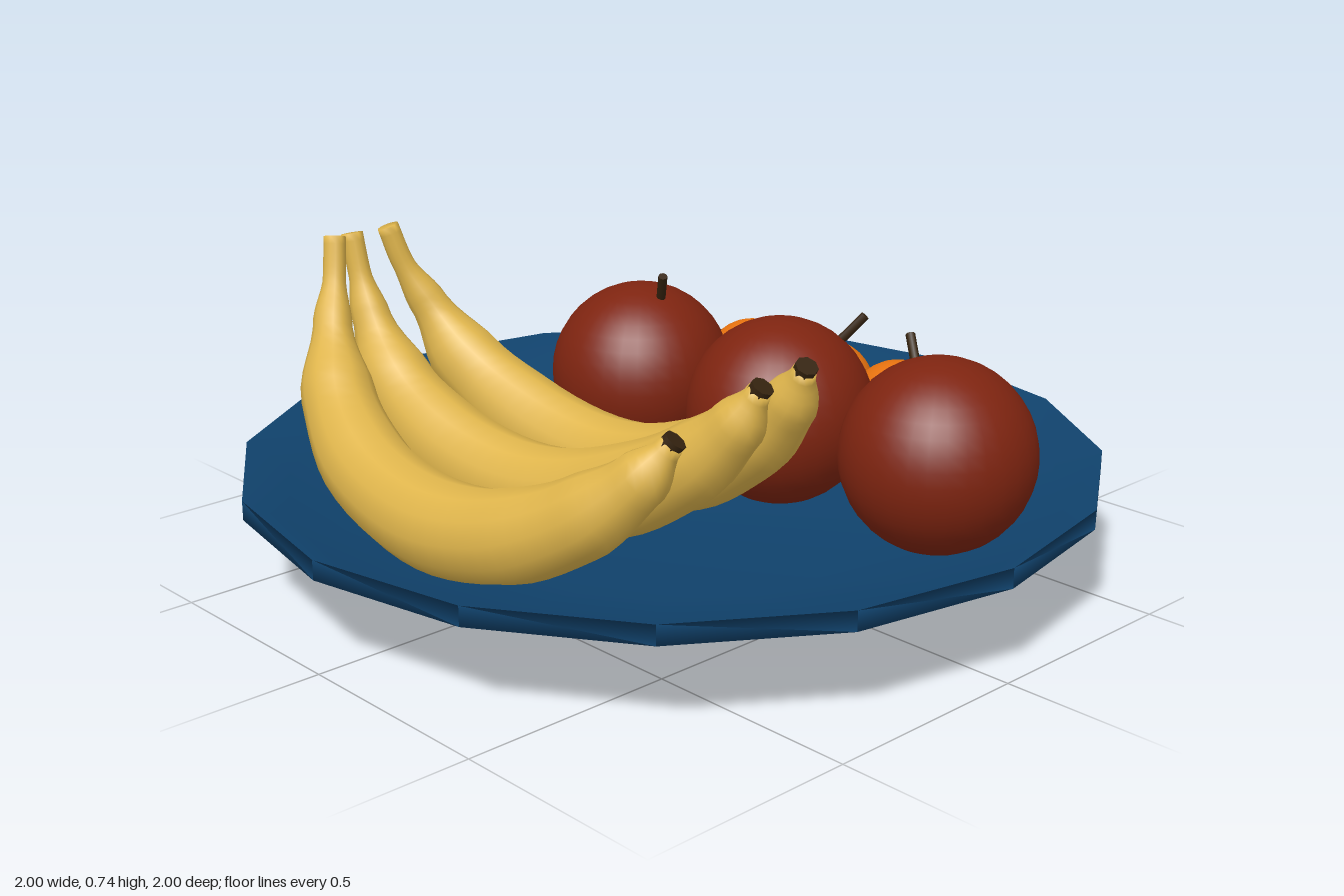
import * as THREE from 'three';

const mat = (name, color, side = THREE.FrontSide) => {
  const m = new THREE.MeshStandardMaterial({ color, side });
  m.name = name;
  return m;
};

// Sweep of ellipses along a curve; radii are spread evenly over its control points
function sweep(points, radii, steps, sides) {
  const curve = new THREE.CatmullRomCurve3(points, false, 'centripetal');
  const pos = [], idx = [];
  const zAxis = new THREE.Vector3(0, 0, 1);
  for (let i = 0; i <= steps; i++) {
    const t = i / steps, f = t * (radii.length - 1);
    const k = Math.min(Math.floor(f), radii.length - 2);
    const r = THREE.MathUtils.lerp(radii[k], radii[k + 1], THREE.MathUtils.smoothstep(f - k, 0, 1));
    const c = curve.getPoint(t), tan = curve.getTangent(t);
    const up = zAxis.clone().cross(tan).normalize();
    const side = tan.clone().cross(up).normalize();
    for (let j = 0; j < sides; j++) {
      const a = j / sides * Math.PI * 2;
      const p = c.clone().addScaledVector(up, Math.cos(a) * r).addScaledVector(side, Math.sin(a) * r * 0.92);
      pos.push(p.x, p.y, p.z);
    }
  }
  for (let i = 0; i < steps; i++) for (let j = 0; j < sides; j++) {
    const a = i * sides + j, b = i * sides + (j + 1) % sides;
    idx.push(a, b, a + sides, b, b + sides, a + sides);
  }
  // End caps
  for (let j = 1; j < sides - 1; j++) {
    const e = steps * sides;
    idx.push(0, j + 1, j, e, e + j, e + j + 1);
  }
  const g = new THREE.BufferGeometry();
  g.setAttribute('position', new THREE.Float32BufferAttribute(pos, 3));
  g.setIndex(idx);
  g.computeVertexNormals();
  return g;
}

// Cylinder between two points
function rod(a, b, r, material, name) {
  const d = b.clone().sub(a);
  const m = new THREE.Mesh(new THREE.CylinderGeometry(r, r, d.length(), 8), material);
  m.position.copy(a).add(b).multiplyScalar(0.5);
  m.quaternion.setFromUnitVectors(new THREE.Vector3(0, 1, 0), d.normalize());
  m.name = name;
  return m;
}

export function createModel() {
  const root = new THREE.Group();
  root.name = 'fruitPlate';
  const blue = mat('plateBlue', 0x10426c, THREE.DoubleSide);
  const red = mat('appleRed', 0x7e2410);
  const orange = mat('orangePeel', 0xe8730f);
  const yellow = mat('bananaYellow', 0xdfb54c);
  const brown = mat('stemBrown', 0x35230f);
  const V = (x, y, z) => new THREE.Vector3(x, y, z);

  // Sixteen-sided plate with a raised foot and a short vertical rim
  const profile = [[0, 0], [0.48, 0], [0.48, 0.05], [1, 0.21], [1, 0.255], [0.9, 0.19], [0.48, 0.075], [0, 0.07]];
  const plate = new THREE.Mesh(new THREE.LatheGeometry(profile.map(p => new THREE.Vector2(...p)), 16), blue);
  plate.name = 'plate';
  root.add(plate);

  // Apples with leaning stems: centre, stem foot, stem tip
  const apples = [
    [V(-0.29, 0.34, -0.17), V(-0.215, 0.53, -0.165), V(-0.18, 0.605, -0.14)],
    [V(0.16, 0.34, -0.195), V(0.235, 0.50, -0.315), V(0.275, 0.56, -0.355)],
    [V(0.615, 0.34, -0.22), V(0.495, 0.50, -0.28), V(0.445, 0.56, -0.315)],
  ];
  for (const [c, a, b] of apples) {
    const apple = new THREE.Group();
    apple.name = 'apple';
    const body = new THREE.Mesh(new THREE.SphereGeometry(0.22, 32, 20), red);
    body.name = 'appleBody';
    body.position.copy(c);
    apple.add(body, rod(a, b, 0.011, brown, 'appleStem'));
    root.add(apple);
  }

  // Row of small oranges
  for (const x of [-0.255, 0, 0.24]) {
    const o = new THREE.Mesh(new THREE.SphereGeometry(0.125, 24, 16), orange);
    o.name = 'orange';
    o.position.set(x, 0.28, -0.525);
    root.add(o);
  }

  // Bananas share a side profile and differ in sideways bend and tip height
  const xs = [-0.605, -0.585, -0.55, -0.46, -0.28, -0.02, 0.22, 0.42, 0.54, 0.595];
  const ys = [0.735, 0.645, 0.545, 0.41, 0.30, 0.25, 0.28, 0.37, 0.47, 0.55];
  const radii = [0.027, 0.028, 0.048, 0.09, 0.105, 0.107, 0.102, 0.088, 0.062, 0.026];
  const bananas = [
    { lift: 0.07, z: [0.35, 0.325, 0.28, 0.235, 0.195, 0.165, 0.155, 0.16, 0.175, 0.19] },
    { lift: 0.055, z: [0.452, 0.45, 0.447, 0.447, 0.44, 0.41, 0.375, 0.345, 0.33, 0.32] },
    { lift: 0, z: [0.5, 0.52, 0.555, 0.61, 0.665, 0.69, 0.675, 0.635, 0.595, 0.56] },
  ];
  for (const { lift, z } of bananas) {
    const pts = xs.map((x, i) => V(x, ys[i] + lift * Math.max(0, x / 0.6), z[i]));
    const banana = new THREE.Group();
    banana.name = 'banana';
    const body = new THREE.Mesh(sweep(pts, radii, 48, 12), yellow);
    body.name = 'bananaBody';
    const end = pts[9], dir = end.clone().sub(pts[8]).normalize();
    // Dark blossom end
    banana.add(body, rod(end.clone().addScaledVector(dir, -0.012), end.clone().addScaledVector(dir, 0.012), 0.025, brown, 'bananaTip'));
    root.add(banana);
  }
  return root;
}
